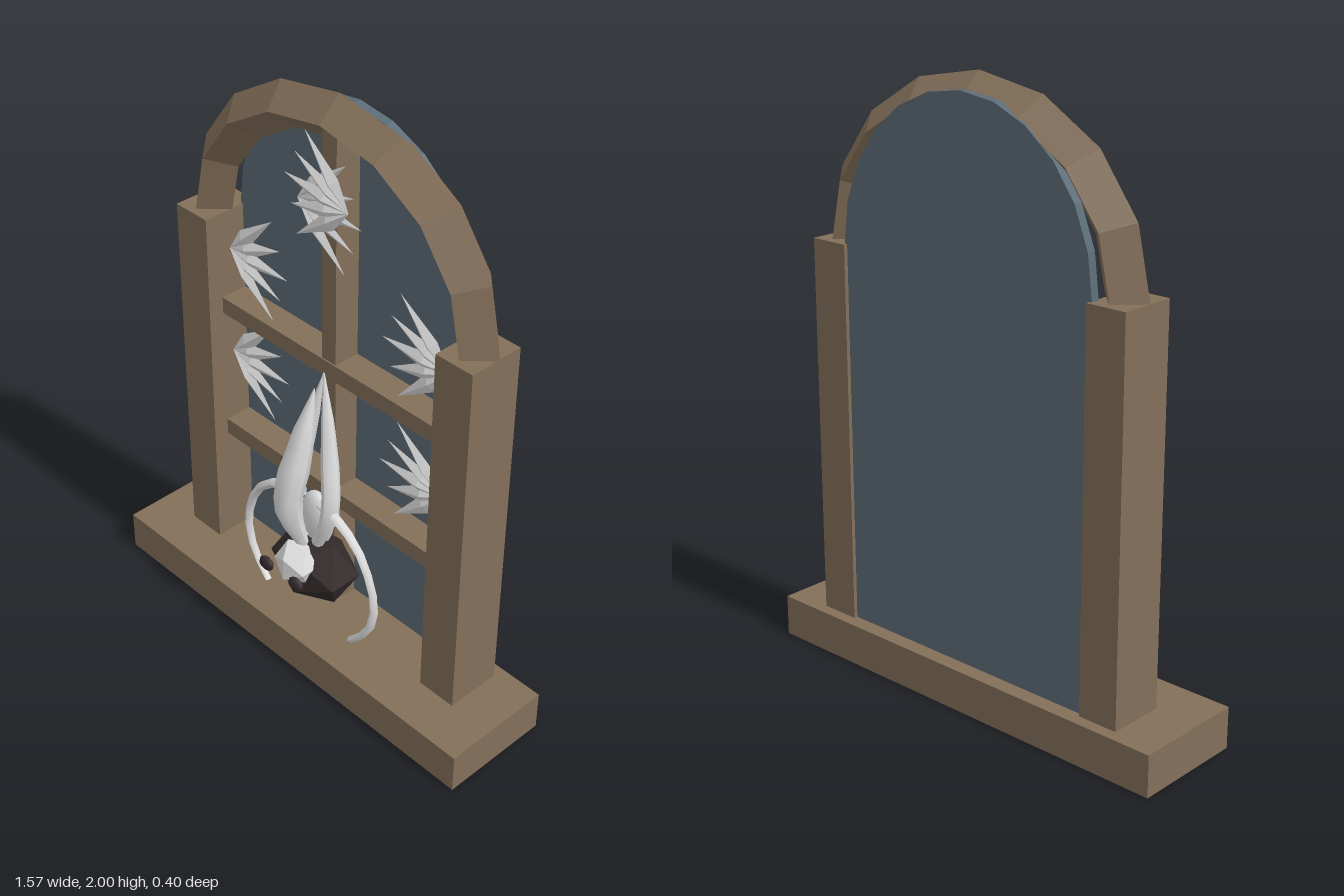
import * as THREE from 'three';

const wood = new THREE.MeshStandardMaterial({ color: 0x836f59 });
wood.name = 'brown wood';
const glass = new THREE.MeshStandardMaterial({ color: 0x5b6c76 });
glass.name = 'slate glass';
const pale = new THREE.MeshStandardMaterial({ color: 0xdedede, side: THREE.DoubleSide });
pale.name = 'pale white';
const dark = new THREE.MeshStandardMaterial({ color: 0x342b2b });
dark.name = 'dark brown';

// Faceted normals for low-poly parts
function facet(geo) {
  const g = geo.index ? geo.toNonIndexed() : geo;
  g.computeVertexNormals();
  return g;
}

function add(parent, name, geo, mat, x = 0, y = 0, z = 0) {
  const m = new THREE.Mesh(geo, mat);
  m.name = name;
  m.position.set(x, y, z);
  parent.add(m);
  return m;
}

// Box given by its limits on each axis
function box(parent, name, mat, x0, x1, y0, y1, z0, z1) {
  return add(parent, name, new THREE.BoxGeometry(x1 - x0, y1 - y0, z1 - z0), mat,
    (x0 + x1) / 2, (y0 + y1) / 2, (z0 + z1) / 2);
}

// Tube along a path whose thickness follows a list of radii
function limb(parent, name, points, radii, sides = 8, segs = 12) {
  const curve = new THREE.CatmullRomCurve3(points.map(p => new THREE.Vector3(...p)));
  const geo = new THREE.TubeGeometry(curve, segs, 1, sides);
  const pos = geo.attributes.position, v = new THREE.Vector3();
  for (let i = 0; i <= segs; i++) {
    const c = curve.getPointAt(i / segs);
    const f = (i / segs) * (radii.length - 1), k = Math.min(Math.floor(f), radii.length - 2);
    const r = THREE.MathUtils.lerp(radii[k], radii[k + 1], f - k);
    for (let j = 0; j <= sides; j++) {
      const n = i * (sides + 1) + j;
      v.fromBufferAttribute(pos, n).sub(c).multiplyScalar(r).add(c);
      pos.setXYZ(n, v.x, v.y, v.z);
    }
  }
  geo.computeVertexNormals();
  return add(parent, name, geo, pale);
}

// Fan of five ridged spikes spreading from one point
const spikeGeo = facet(new THREE.LatheGeometry(
  [[0, 0], [0.03, 0.1], [0, 0.28]].map(p => new THREE.Vector2(...p)), 4).scale(1, 1, 0.6));
function fan(parent, x, y, dir, z = -0.045, tilt = 0) {
  const g = new THREE.Group();
  g.name = 'spikeFan';
  g.position.set(x, y, z);
  [-42, -21, 0, 21, 42].forEach(a => {
    const s = add(g, 'spike', spikeGeo, pale);
    s.rotation.z = THREE.MathUtils.degToRad(a + tilt) - dir * Math.PI / 2;
    s.scale.y = Math.abs(a) === 21 ? 0.9 : 0.97;
  });
  parent.add(g);
}

function buildWindow() {
  const g = new THREE.Group();
  g.name = 'window';
  box(g, 'sill', wood, -0.785, 0.785, 0, 0.14, -0.2, 0.19);
  for (const s of [-1, 1])
    box(g, 'post', wood, s * 0.56 - 0.07, s * 0.56 + 0.07, 0.14, 1.42, -0.16, 0.035);

  // Faceted arch with a diamond section
  const arch = new THREE.TorusGeometry(0.56, 0.08, 4, 8, Math.PI).scale(1, 0.9, 1);
  add(g, 'arch', facet(arch), wood, 0, 1.424, -0.065);
  for (const s of [-1, 1]) {
    const cap = add(g, 'archEnd', new THREE.CircleGeometry(0.08, 4), wood, s * 0.56, 1.424, -0.065);
    cap.rotation.x = Math.PI / 2;
  }

  // Round-topped pane
  const pane = new THREE.Shape();
  pane.moveTo(-0.5, 0.13);
  pane.lineTo(0.5, 0.13);
  pane.lineTo(0.5, 1.42);
  pane.absellipse(0, 1.42, 0.5, 0.53, 0, Math.PI, false);
  pane.lineTo(-0.5, 0.13);
  add(g, 'pane', new THREE.ExtrudeGeometry(pane,
    { depth: 0.03, bevelEnabled: false, curveSegments: 6 }), glass, 0, 0, -0.147);

  // Glazing bars
  box(g, 'uprightBar', wood, -0.03, 0.03, 0.13, 1.89, -0.125, -0.025);
  box(g, 'upperBar', wood, -0.5, 0.5, 1.053, 1.112, -0.125, -0.02);
  box(g, 'lowerBar', wood, -0.5, 0.5, 0.565, 0.624, -0.125, -0.02);
  return g;
}

function buildCreature() {
  const g = new THREE.Group();
  g.name = 'hangingCreature';

  // Head, face and eyes
  const head = new THREE.IcosahedronGeometry(0.16, 0).scale(1.08, 0.88, 0.72);
  add(g, 'head', facet(head), dark, 0, 0.335, 0.035);
  const face = new THREE.IcosahedronGeometry(0.08, 0).scale(1, 1, 0.9);
  add(g, 'face', facet(face), pale, 0, 0.385, 0.115);
  for (const s of [-1, 1]) {
    const eye = new THREE.SphereGeometry(0.032, 8, 6).scale(1, 0.8, 0.5);
    add(g, 'eye', eye, dark, s * 0.07, 0.375, 0.185);
  }

  // Body and the long folded tips above it
  add(g, 'body', new THREE.SphereGeometry(0.07, 10, 8).scale(1, 1.5, 0.55), pale, 0, 0.52, 0.025);
  limb(g, 'frontTip', [[-0.01, 0.44, 0.08], [-0.028, 0.61, 0.125], [-0.012, 0.83, 0.085], [0, 1.04, 0.035]],
    [0.02, 0.045, 0.05, 0.035, 0.002]);
  for (const s of [-1, 1])
    limb(g, 'sideTip', [[s * 0.03, 0.45, 0.05], [s * 0.085, 0.6, 0.05], [s * 0.05, 0.82, 0.02], [0, 1.08, -0.005]],
      [0.022, 0.03, 0.03, 0.02, 0.002]);

  // Thin curved arms reaching down to the sill
  for (const s of [-1, 1])
    limb(g, 'arm', [[0.04, 0.62, 0.05], [0.15, 0.59, 0.055], [0.24, 0.52, 0.06], [0.3, 0.36, 0.06],
      [0.275, 0.23, 0.06], [0.2, 0.142, 0.065]].map(([x, y, z]) => [s * x, y, z]),
    [0.02, 0.016, 0.014, 0.014, 0.012], 6, 9);
  return g;
}

export function createModel() {
  const model = new THREE.Group();
  model.name = 'archedWindow';
  model.add(buildWindow(), buildCreature());

  // Spike fans along the posts and a crossed pair under the arch
  fan(model, -0.475, 1.295, 1);
  fan(model, -0.475, 0.905, 1);
  fan(model, 0.475, 1.3, -1);
  fan(model, 0.475, 0.845, -1);
  fan(model, -0.13, 1.635, 1, -0.02);
  fan(model, 0.1, 1.68, -1, -0.005, -6);
  return model;
}
